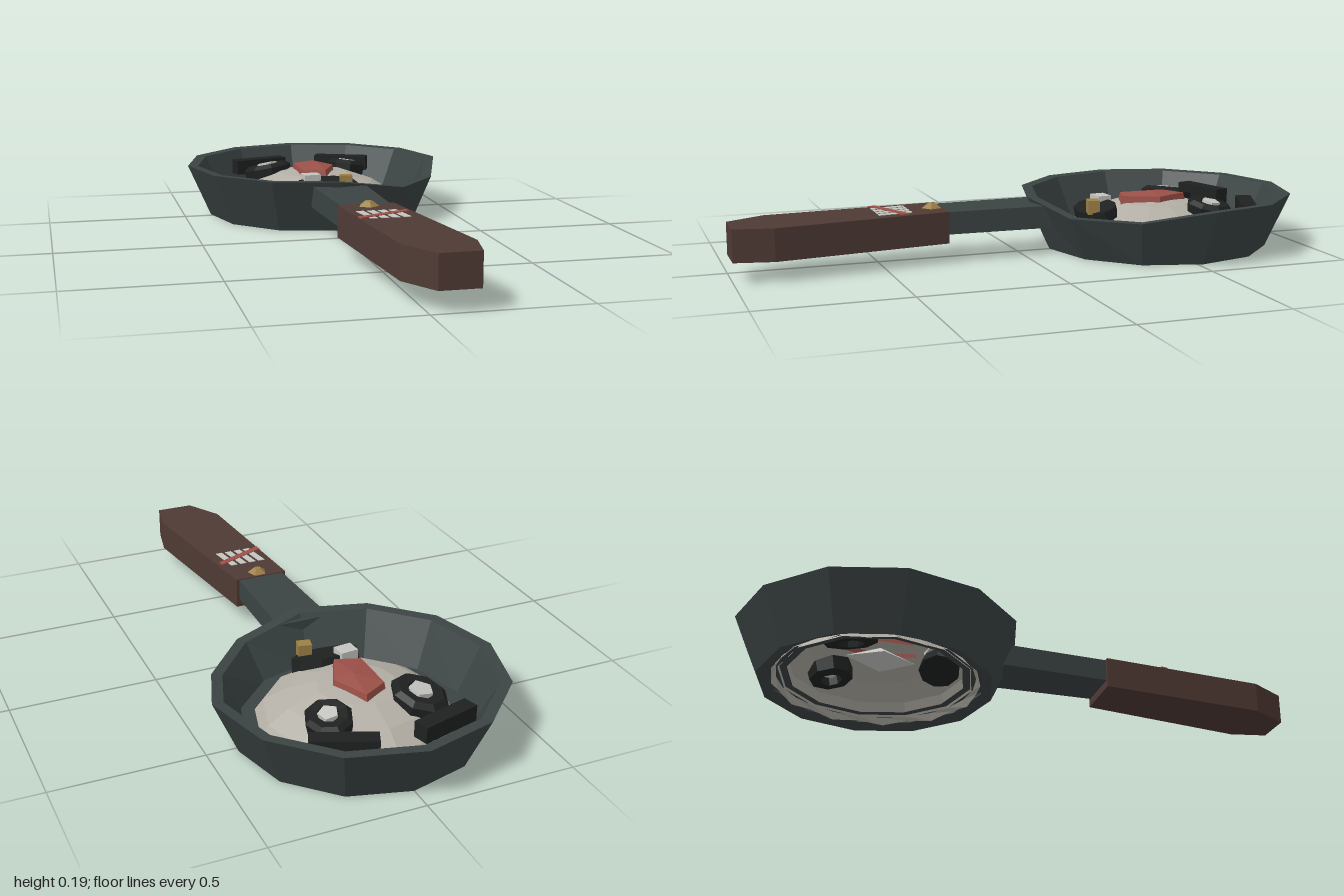
import * as THREE from 'three';

const mat = (name, color) => {
  const m = new THREE.MeshStandardMaterial({ color, flatShading: true, side: THREE.DoubleSide });
  m.name = name;
  return m;
};

export function createModel() {
  const root = new THREE.Group();
  root.name = 'fryingPan';
  const iron = mat('darkIron', 0x3b4343);
  const egg = mat('eggWhite', 0xb3afa6);
  const wood = mat('brownWood', 0x4f3a34);
  const black = mat('charBlack', 0x1f2121);
  const red = mat('dullRed', 0x9c5048);
  const white = mat('paleGrey', 0xc4c4c0);
  const gold = mat('oldGold', 0x9c7f45);

  const add = (name, geo, material, x = 0, y = 0, z = 0, parent = root) => {
    const m = new THREE.Mesh(geo, material);
    m.name = name;
    m.position.set(x, y, z);
    parent.add(m);
    return m;
  };
  const lathe = (pts, n) => new THREE.LatheGeometry(pts.map(p => new THREE.Vector2(...p)), n);
  // Extrudes an outline given in x, z upward from y0 to y1
  const slab = (pts, y0, y1) => {
    const s = new THREE.Shape(pts.map(([x, z]) => new THREE.Vector2(x, -z)));
    return new THREE.ExtrudeGeometry(s, { depth: y1 - y0, bevelEnabled: false })
      .rotateX(-Math.PI / 2).translate(0, y0, 0);
  };

  // Pan, with the centre of the bowl at CZ
  const CZ = -0.52;
  const profile = [[0.4, 0], [0.483, 0.19], [0.445, 0.188], [0.365, 0.02], [0.4, 0]];
  const bowl = lathe(profile, 12);
  const bp = bowl.attributes.position;
  for (const i of [1, 2]) for (const j of [1, 2]) {
    // dented part of the rim
    const k = i * profile.length + j, s = i === 2 ? 0.96 : 1;
    bp.setXYZ(k, bp.getX(k) * s, 0.152, bp.getZ(k) * s);
  }
  add('bowl', bowl, iron, 0, 0, CZ);
  add('bowlFloor', new THREE.RingGeometry(0.3, 0.37, 12).rotateX(-Math.PI / 2), iron, 0, 0.032, CZ);

  // Domed face and the ragged skirt hidden below the floor
  add('faceDome', lathe([[0.33, 0.025], [0.3, 0.07], [0.23, 0.115], [0.13, 0.15], [0, 0.163]], 12), egg, 0, 0, CZ);
  const skirt = new THREE.CylinderGeometry(0.335, 0.35, 0.024, 24, 1, true);
  const sp = skirt.attributes.position;
  for (let i = 0; i < sp.count; i++) if (sp.getY(i) < 0 && i % 2) sp.setY(i, 0.002);
  add('faceSkirt', skirt, egg, 0, 0.018, CZ);

  // Eyes: chunky rings with pale pupils, reaching through the dome
  for (const [side, x, z, r] of [['right', -0.155, -0.645, 0.092], ['left', 0.16, -0.66, 0.076]]) {
    const eye = new THREE.Group();
    eye.name = side + 'Eye';
    eye.position.set(x, 0.135, z);
    eye.rotation.set(-0.15, 0, -x);
    root.add(eye);
    const ring = lathe([[r * 0.45, -0.065], [r * 0.9, -0.06], [r, 0.015], [r * 0.8, 0.03],
      [r * 0.45, 0.027], [r * 0.45, -0.065]], 8);
    ring.scale(1, 1, 1.1);
    add(side + 'EyeRing', ring, black, 0, 0, 0, eye);
    add(side + 'Pupil', new THREE.CylinderGeometry(r * 0.44, r * 0.46, 0.07, 5), white, 0, -0.001, 0, eye);
  }

  // Brows
  const browBox = () => new THREE.BoxGeometry(0.21, 0.055, 0.054);
  add('rightBrow', browBox(), black, -0.163, 0.135, -0.802).rotation.y = 0.27;
  add('leftBrow', browBox(), black, 0.175, 0.135, -0.8).rotation.y = -0.4;

  // Nose: low faceted wedge, with a pale lump under the dome
  const outline = [[0.02, -0.64], [-0.07, -0.59], [-0.07, -0.41], [0.02, -0.38], [0.08, -0.51]];
  const inset = ([x, z]) => [x * 0.92, (z + 0.51) * 0.92 - 0.51];
  const nosePos = [];
  outline.forEach((a, i) => {
    const b = outline[(i + 1) % 5];
    const a2 = inset(a), b2 = inset(b);
    nosePos.push(a[0], 0.135, a[1], b[0], 0.135, b[1], b2[0], 0.175, b2[1]);
    nosePos.push(a[0], 0.135, a[1], b2[0], 0.175, b2[1], a2[0], 0.175, a2[1]);
    nosePos.push(a2[0], 0.175, a2[1], b2[0], 0.175, b2[1], 0.01, 0.188, -0.51);
  });
  const nose = new THREE.BufferGeometry();
  nose.setAttribute('position', new THREE.Float32BufferAttribute(nosePos, 3));
  nose.computeVertexNormals();
  add('nose', nose, red);
  add('noseBase', new THREE.OctahedronGeometry(1).scale(0.07, 0.045, 0.12), white, 0, 0.1, -0.51);

  // Mouth and teeth
  const mouth = new THREE.CylinderGeometry(0.118, 0.122, 0.06, 9);
  mouth.scale(1, 1, 0.57);
  add('mouth', mouth, black, 0.003, 0.115, -0.297).rotation.x = 0.25;
  add('paleTooth', new THREE.BoxGeometry(0.062, 0.045, 0.052), white, -0.05, 0.15, -0.335).rotation.y = 0.1;
  add('goldTooth', new THREE.BoxGeometry(0.046, 0.05, 0.04), gold, 0.065, 0.153, -0.257).rotation.y = -0.2;

  // Neck and wooden handle
  add('neck', slab([[-0.098, -0.1], [0.092, -0.1], [0.086, 0.3], [-0.08, 0.3]], 0.095, 0.172), iron);
  add('handle', slab([[-0.093, 0.275], [0.097, 0.275], [0.18, 0.87], [0.153, 1],
    [0.022, 1], [-0.05, 0.87]], 0.067, 0.175), wood);
  add('stud', new THREE.CylinderGeometry(0.014, 0.035, 0.016, 5), gold, 0.003, 0.183, 0.31);

  // Tally marks painted on the handle
  for (let i = 0; i < 4; i++) {
    const x = -0.045 + i * 0.036;
    add('tallyBar' + (i + 1), slab([[x - 0.016, 0.395], [x + 0.008, 0.395],
      [x + 0.026, 0.512], [x + 0.002, 0.512]], 0.174, 0.177), white);
  }
  add('tallyStrike', slab([[-0.078, 0.488], [0.1, 0.41], [0.104, 0.434], [-0.074, 0.512]], 0.174, 0.179), red);

  return root;
}
